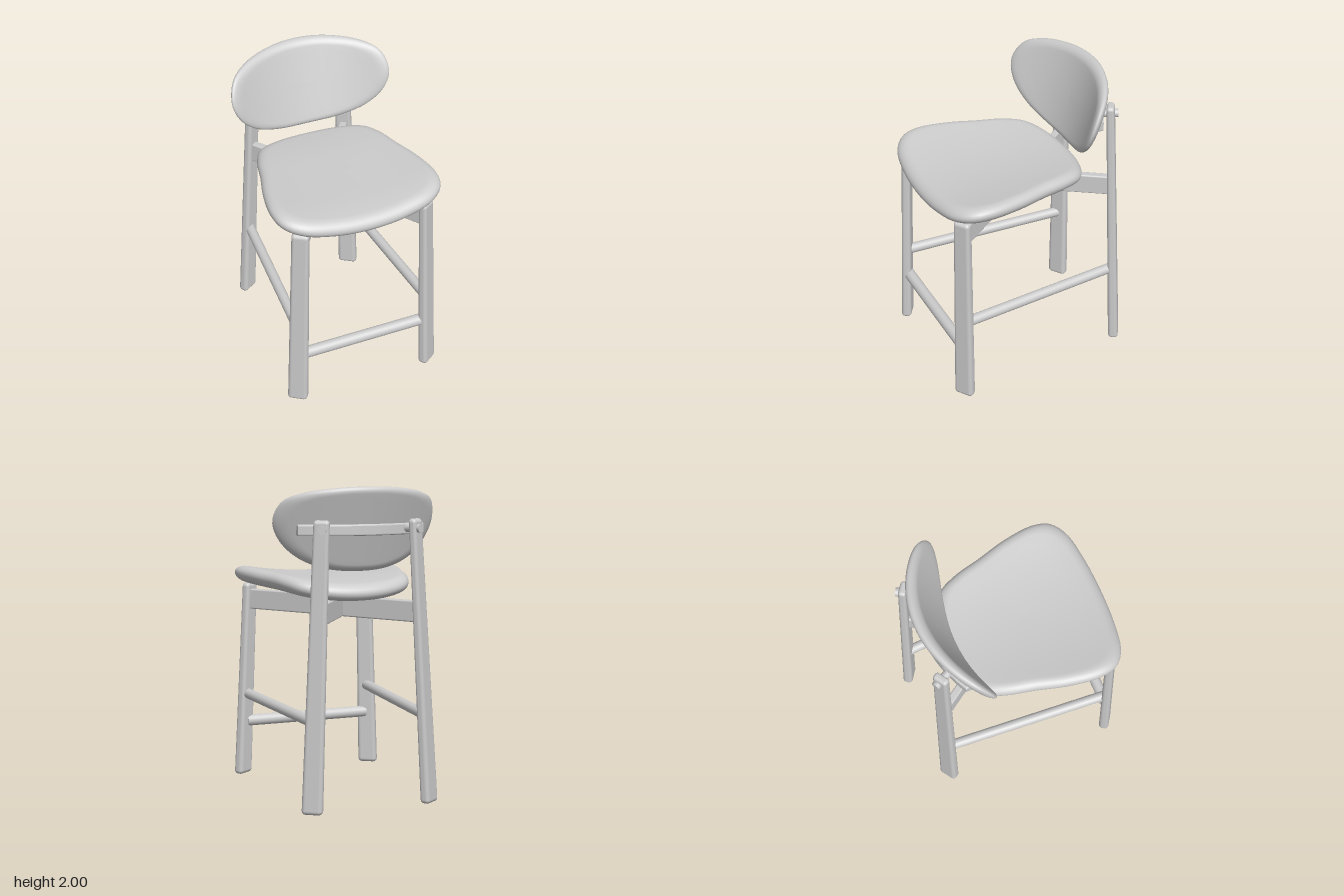
import * as THREE from 'three';
import { RoundedBoxGeometry } from 'three/addons/geometries/RoundedBoxGeometry.js';

const V = (x, y, z) => new THREE.Vector3(x, y, z);

// Rounded cushion: half an outline is mirrored, then swept from its middle round the rim.
// place(a, b, h) maps outline coordinates and height off the mid surface into space.
function padGeometry(half, thickness, flat, place) {
  const mirrored = half.slice(1, -1).reverse().map(([a, b]) => [-a, b]);
  const curve = new THREE.CatmullRomCurve3(
    [...half, ...mirrored].map(([a, b]) => V(a, b, 0)), true, 'centripetal');
  const cols = 96, arc = 14, inner = 8;
  const outline = curve.getSpacedPoints(cols).slice(0, cols);
  const midB = (half[0][1] + half[half.length - 1][1]) / 2;
  const profile = [];
  for (let i = 0; i < inner; i++) profile.push([flat * i / inner, 1]);
  for (let i = 0; i <= arc; i++) {
    const t = Math.PI * i / arc;
    profile.push([flat + (1 - flat) * Math.sin(t), Math.cos(t)]);
  }
  for (let i = inner - 1; i >= 0; i--) profile.push([flat * i / inner, -1]);

  const positions = [], index = [];
  profile.forEach(([s, h], i) => outline.forEach((p, j) => {
    positions.push(...place(p.x * s, midB + (p.y - midB) * s, h * thickness / 2));
    if (i === profile.length - 1) return;
    const k = (j + 1) % cols, a = i * cols, b = a + cols;
    index.push(a + j, b + j, b + k, a + j, b + k, a + k);
  }));
  const g = new THREE.BufferGeometry();
  g.setAttribute('position', new THREE.Float32BufferAttribute(positions, 3));
  g.setIndex(index);
  g.computeVertexNormals();
  return g;
}

// Leaning, tapering leg with a rounded rectangular section turned by angle
function legGeometry(foot, top, angle, taper) {
  const g = new RoundedBoxGeometry(0.132, top.y, 0.068, 4, 0.026);
  g.rotateY(angle);
  const p = g.attributes.position;
  for (let i = 0; i < p.count; i++) {
    const t = p.getY(i) / top.y + 0.5, s = 1 + (taper - 1) * t;
    p.setXYZ(i, p.getX(i) * s + THREE.MathUtils.lerp(foot.x, top.x, t), t * top.y,
      p.getZ(i) * s + THREE.MathUtils.lerp(foot.z, top.z, t));
  }
  return g;
}

export function createModel() {
  const model = new THREE.Group();
  model.name = 'counterChair';
  const paint = new THREE.MeshStandardMaterial({ color: 0xcccccc });
  paint.name = 'lightGrey';

  const add = (name, geometry) => {
    const mesh = new THREE.Mesh(geometry, paint);
    mesh.name = name;
    model.add(mesh);
    return mesh;
  };
  const addRod = (name, a, b, radius) => {
    const d = b.clone().sub(a);
    const rod = add(name, new THREE.CylinderGeometry(radius, radius, d.length(), 24));
    rod.position.copy(a).add(b).multiplyScalar(0.5);
    rod.quaternion.setFromUnitVectors(V(0, 1, 0), d.normalize());
  };

  // Saddle seat: sides rise, front and back edges dip
  const seatHalf = [[0, 0.655], [0.25, 0.64], [0.43, 0.6], [0.525, 0.525], [0.555, 0.41], [0.53, 0.2],
    [0.475, 0], [0.43, -0.18], [0.365, -0.31], [0.22, -0.39], [0, -0.42]];
  add('seat', padGeometry(seatHalf, 0.11, 0.86, (x, z, h) => {
    const back = Math.min(0, z) / 0.42, front = Math.max(0, z - 0.4) / 0.25;
    return [x, 1.355 + 0.057 * (x / 0.55) ** 2 - 0.028 * back * back - 0.018 * front * front + h, z];
  }));

  // Curved, reclined backrest
  const backHalf = [[0, 1.47], [0.2, 1.487], [0.37, 1.55], [0.49, 1.66], [0.54, 1.79], [0.5, 1.91],
    [0.4, 1.96], [0.2, 1.992], [0, 2]];
  add('backrest', padGeometry(backHalf, 0.075, 0.84, (x, y, h) =>
    [x, y, -0.467 - 0.35 * (y - 1.73) + 0.66 * x * x + h]));

  // Curved bar behind the backrest
  const bar = new THREE.Shape();
  const steps = 24, reach = 0.41;
  for (let side = 0; side < 2; side++) {
    for (let i = 0; i <= steps; i++) {
      const x = (side ? 1 : -1) * reach * (1 - 2 * i / steps) * -1;
      const z = 0.66 * x * x - (side ? 0.505 : 0.535);
      if (side || i) bar.lineTo(-x, z); else bar.moveTo(-x, z);
    }
  }
  const barGeometry = new THREE.ExtrudeGeometry(bar, {
    depth: 0.05, bevelThickness: 0.01, bevelSize: 0.01, bevelSegments: 3 });
  barGeometry.rotateX(Math.PI / 2);
  add('backBar', barGeometry).position.y = 1.76;

  // Legs, side stretchers, pegs and crossed seat rails
  const turn = 0.593;
  for (const s of [1, -1]) {
    const side = s > 0 ? 'left' : 'right';
    add(side + 'FrontLeg', legGeometry(V(s * 0.47, 0, 0.575), V(s * 0.42, 1.33, 0.54), s * turn, 0.82));
    add(side + 'BackLeg', legGeometry(V(s * 0.397, 0, -0.602), V(s * 0.31, 1.8, -0.543), -s * turn, 0.74));
    addRod(side + 'Stretcher', V(s * 0.445, 0.565, 0.55), V(s * 0.37, 0.565, -0.575), 0.034);
    addRod(side + 'BackPeg', V(s * 0.262, 1.74, -0.46), V(s * 0.328, 1.74, -0.59), 0.027);

    const a = V(s * 0.42, 1.22, 0.535), b = V(s * -0.335, 1.22, -0.555);
    const rail = add(side + 'DiagonalRail', new RoundedBoxGeometry(0.05, 0.135, a.distanceTo(b), 3, 0.01));
    rail.position.copy(a).add(b).multiplyScalar(0.5);
    rail.rotation.y = Math.atan2(a.x - b.x, a.z - b.z);
  }

  // Front stretcher and batten under the seat
  addRod('frontStretcher', V(-0.44, 0.37, 0.565), V(0.44, 0.37, 0.565), 0.038);
  add('seatBatten', new RoundedBoxGeometry(0.43, 0.115, 0.045, 3, 0.01)).position.set(0, 1.24, 0.25);

  return model;
}
